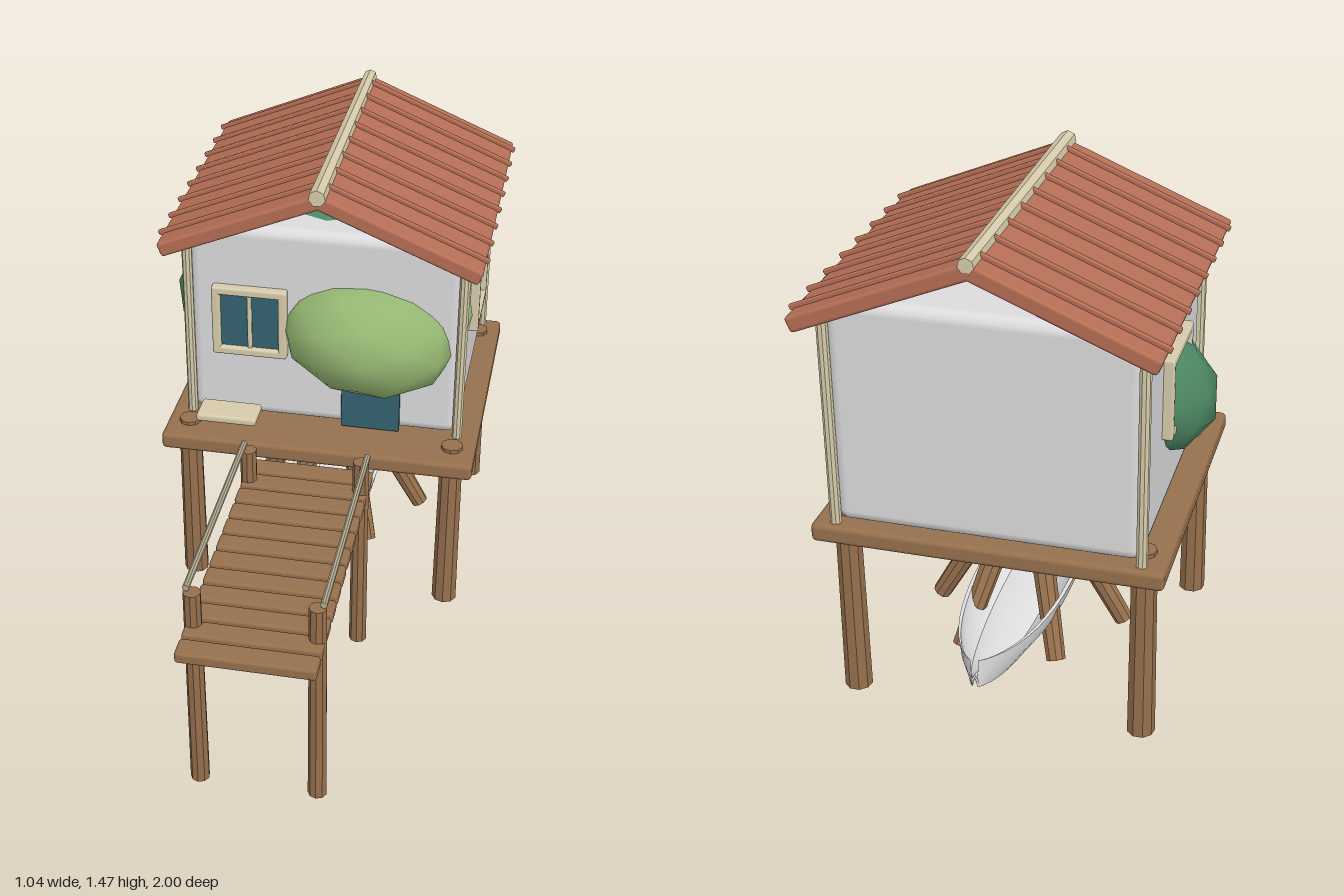
import * as THREE from 'three';
import { toCreasedNormals } from 'three/addons/utils/BufferGeometryUtils.js';
import { RoundedBoxGeometry } from 'three/addons/geometries/RoundedBoxGeometry.js';

const mat = (name, color) => {
  const m = new THREE.MeshStandardMaterial({ color });
  m.name = name;
  return m;
};

export function createModel() {
  const wood = mat('wood', 0x96704d);
  const tile = mat('roof tile', 0xb56e55);
  const wall = mat('wall white', 0xdcdcde);
  const cream = mat('cream trim', 0xd6ccab);
  const rail = mat('weathered rail', 0xb3ab90);
  const glass = mat('teal', 0x33636f);
  const leaf = mat('light leaf', 0x96b873);
  const darkLeaf = mat('dark leaf', 0x4c8762);
  const hullWhite = mat('boat white', 0xe2e2e2);
  hullWhite.side = THREE.DoubleSide;

  const root = new THREE.Group();
  root.name = 'stiltHouse';
  const g = new THREE.Group(); // everything is symmetric about this offset axis
  g.name = 'house';
  g.position.x = 0.016;
  root.add(g);

  const add = (name, geo, material, parent = g) => {
    const m = new THREE.Mesh(geo, material);
    m.name = name;
    parent.add(m);
    return m;
  };
  const box = (name, size, pos, material, r = 0.008, parent = g) => {
    const geo = r ? new RoundedBoxGeometry(...size, 2, r) : new THREE.BoxGeometry(...size);
    const m = add(name, geo, material, parent);
    m.position.set(...pos);
    return m;
  };
  // faceted pole between two points
  const pole = (name, a, b, r, material, r2 = r, sides = 9) => {
    const A = new THREE.Vector3(...a), B = new THREE.Vector3(...b);
    const geo = toCreasedNormals(new THREE.CylinderGeometry(r2, r, A.distanceTo(B), sides), 0.4);
    const m = add(name, geo, material);
    m.position.copy(A).add(B).multiplyScalar(0.5);
    m.quaternion.setFromUnitVectors(new THREE.Vector3(0, 1, 0), B.clone().sub(A).normalize());
    return m;
  };

  // platform on four piles with exposed pile heads
  box('platform', [0.985, 0.056, 0.925], [0, 0.573, -0.443], wood, 0.015);
  for (const x of [-0.42, 0.42]) for (const z of [-0.075, -0.81]) {
    pole('pile', [x, 0.015, z], [x, 0.56, z], 0.04, wood, 0.036);
    pole('pileHead', [x, 0.59, z], [x, 0.613, z], 0.034, wood);
  }

  // walls and corner posts
  box('walls', [0.85, 0.665, 0.735], [0, 0.9375, -0.508], wall, 0.035);
  for (const x of [-0.427, 0.427]) for (const z of [-0.143, -0.873])
    pole('cornerPost', [x, 0.6, z], [x, 1.25, z], 0.016, cream);

  // roof: two slopes with battens
  const slope = Math.atan(0.415), len = 0.535;
  for (const s of [-1, 1]) {
    const side = new THREE.Group();
    side.name = s < 0 ? 'rightRoofSlope' : 'leftRoofSlope';
    side.position.set(0, 1.452, -0.495);
    side.rotation.z = -s * slope;
    g.add(side);
    box('roofPanel', [len, 0.046, 0.945], [s * (len / 2 - 0.004), -0.023, 0], tile, 0.01, side);
    for (let i = 0; i < 8; i++)
      box('batten', [len + 0.005, 0.016, 0.014], [s * len / 2, 0.004, 0.395 - i * 0.1145], tile, 0.004, side);
  }
  pole('ridgePole', [0, 1.446, -0.015], [0, 1.446, -0.97], 0.026, cream, 0.022, 7);

  // windows: group facing +z, glass behind a frame with a hole
  const windowUnit = (name, w, h, pos, rotY, mullion) => {
    const u = new THREE.Group();
    u.name = name;
    u.position.set(...pos);
    u.rotation.y = rotY;
    g.add(u);
    const t = 0.026;
    for (const s of [-1, 1]) {
      box('frameStile', [t, h, 0.034], [s * (w - t) / 2, 0, 0.012], cream, 0.007, u);
      box('frameRail', [w, t, 0.034], [0, s * (h - t) / 2, 0.012], cream, 0.007, u);
    }
    box('pane', [w - t, h - t, 0.009], [0, 0, 0.007], glass, 0, u);
    if (mullion) box('mullion', [0.014, h - t, 0.02], [0, 0, 0.01], cream, 0.004, u);
  };
  windowUnit('frontWindow', 0.235, 0.235, [-0.231, 0.955, -0.14], 0, true);
  windowUnit('leftWindow', 0.26, 0.24, [0.425, 0.968, -0.51], Math.PI / 2, false);
  windowUnit('rightWindow', 0.26, 0.24, [-0.425, 0.968, -0.51], -Math.PI / 2, false);
  box('door', [0.185, 0.36, 0.02], [0.151, 0.785, -0.136], glass, 0.004);
  box('porchBoard', [0.19, 0.027, 0.1], [-0.281, 0.676, -0.03], cream, 0.01);

  // tree growing through the house: trunk, stilt roots, crown
  pole('trunk', [0, 0.38, -0.445], [0, 1.1, -0.445], 0.055, wood, 0.05);
  for (let i = 0; i < 6; i++) {
    const a = i * Math.PI / 3, c = Math.cos(a), s = Math.sin(a);
    const at = (r, y) => [c * r, y, -0.445 + s * r];
    pole('upperRoot', at(0.02, 0.54), at(0.155, 0.345), 0.026, wood, 0.032);
    pole('lowerRoot', at(0.135, 0.38), at(0.285, 0.115), 0.034, wood, 0.028);
  }
  const clump = (name, pos, scale, material, turn = 0) => {
    const m = add(name, new THREE.IcosahedronGeometry(1, 1), material);
    m.position.set(...pos);
    m.scale.set(...scale);
    m.rotation.z = turn;
  };
  clump('frontFoliage', [0.135, 0.92, -0.175], [0.275, 0.19, 0.205], leaf, -0.1);
  clump('rightFoliage', [-0.315, 0.91, -0.45], [0.235, 0.185, 0.2], darkLeaf, 0.35);
  clump('leftFoliage', [0.39, 1.075, -0.52], [0.075, 0.08, 0.085], leaf);
  clump('leftSprig', [0.405, 0.98, -0.25], [0.04, 0.055, 0.055], leaf);
  const crown = add('topFoliage', new THREE.ConeGeometry(0.29, 0.14, 8), darkLeaf);
  crown.position.set(-0.01, 1.305, -0.45);

  // boat hull: cross-section loop swept along z
  const section = [[-1, 1], [-0.93, 0.55], [-0.6, 0], [0, 0.32], [0.6, 0], [0.93, 0.55], [1, 1],
    [0.92, 1], [0.8, 0.6], [0.5, 0.3], [0, 0.45], [-0.5, 0.3], [-0.8, 0.6], [-0.92, 1]];
  const pts = [], idx = [], N = 24, M = section.length;
  for (let i = 0; i <= N; i++) {
    const t = -Math.cos(i / N * Math.PI), k = Math.abs(t);
    const w = 0.012 + 0.133 * Math.pow(Math.max(0, 1 - k ** 2.4), 0.75);
    const low = 0.178 + 0.042 * k ** 4, high = 0.272 + 0.038 * k ** 3;
    for (const [u, v] of section) pts.push(u * w, low + (high - low) * v, -0.445 + t * 0.555);
    if (i < N) for (let j = 0; j < M; j++) {
      const a = i * M + j, b = i * M + (j + 1) % M;
      idx.push(a, b, a + M, b, b + M, a + M);
    }
  }
  const hull = new THREE.BufferGeometry();
  hull.setAttribute('position', new THREE.Float32BufferAttribute(pts, 3));
  hull.setIndex(idx);
  add('boatHull', toCreasedNormals(hull, 0.7), hullWhite);
  pole('oar', [-0.2, 0.315, -0.36], [0.31, 0.315, -0.52], 0.009, wood);

  // jetty: planks, posts and hand rails
  for (let i = 0; i < 12; i++)
    box('jettyPlank', [0.388, 0.036, 0.067], [0, 0.558, 0.093 + i * 0.079], wood, 0.009);
  for (const s of [-1, 1]) {
    for (const z of [0.17, 0.862]) pole('jettyPost', [s * 0.173, 0, z], [s * 0.173, 0.682, z], 0.028, wood, 0.025);
    pole('handRail', [s * 0.189, 0.694, 0.155], [s * 0.189, 0.694, 0.865], 0.01, rail);
  }
  return root;
}
